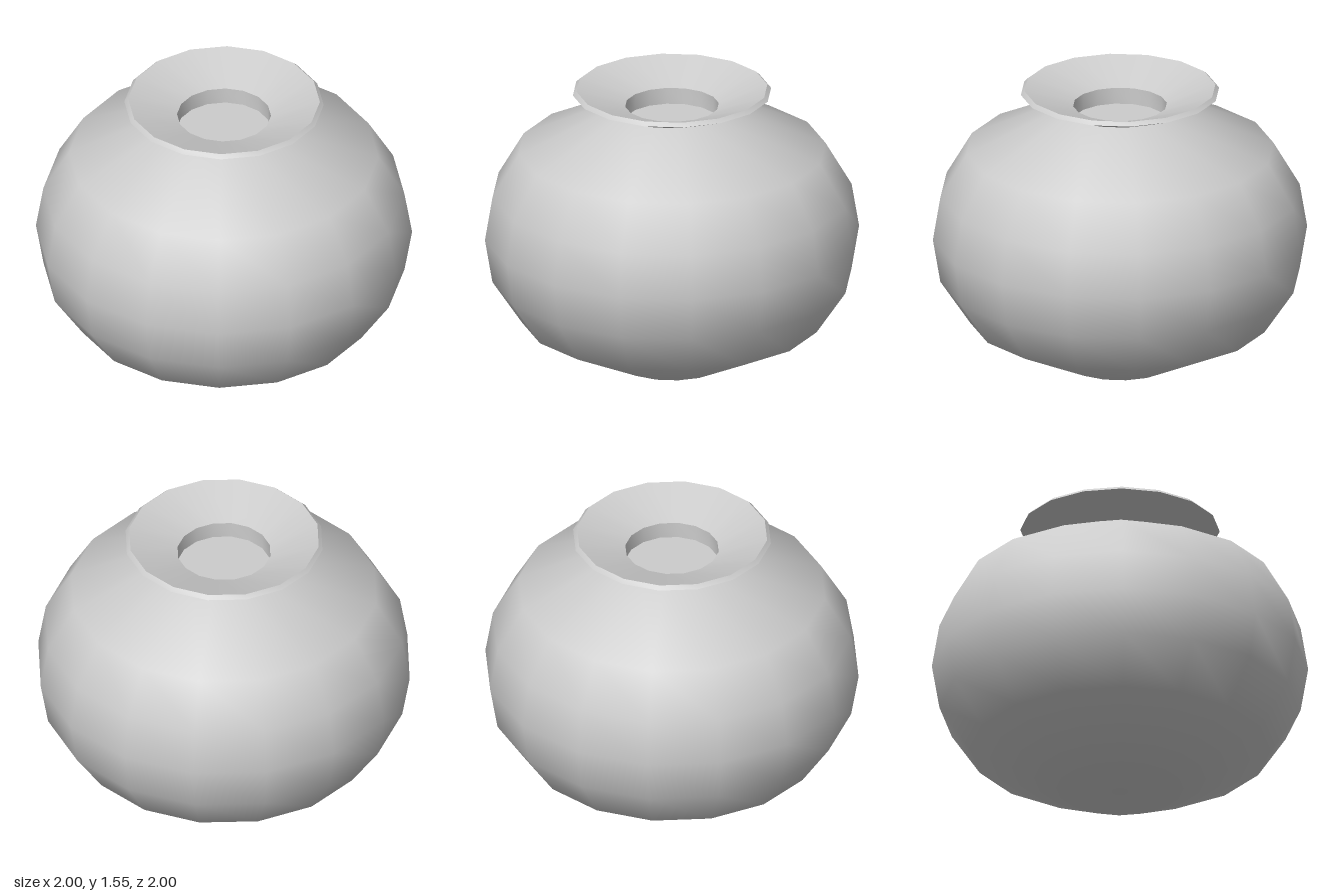
import * as THREE from 'three';
import { toCreasedNormals } from 'three/addons/utils/BufferGeometryUtils.js';

const SIDES = 16;
const material = new THREE.MeshStandardMaterial({ color: 0xcccccc });

// Revolves a [radius, height] profile, smooth with crisp edges at sharp turns
function turned(name, profile) {
  const points = profile.map(([r, y]) => new THREE.Vector2(r, y));
  const geometry = toCreasedNormals(new THREE.LatheGeometry(points, SIDES), THREE.MathUtils.degToRad(40));
  const mesh = new THREE.Mesh(geometry, material);
  mesh.name = name;
  return mesh;
}

export function createModel() {
  const vase = new THREE.Group();
  vase.name = 'vase';

  // Round belly with a flat closed base, ending at the neck
  vase.add(turned('body', [
    [0, 0], [0.3, 0], [0.8, 0.245], [0.96, 0.485], [1, 0.725],
    [0.96, 0.965], [0.82, 1.205], [0.32, 1.445],
  ]));

  // Flared lip, bevelled rim, funnel and the shallow well in the mouth
  vase.add(turned('mouth', [
    [0.32, 1.445], [0.53, 1.53], [0.51, 1.55], [0.25, 1.455], [0.25, 1.365], [0, 1.365],
  ]));

  return vase;
}
